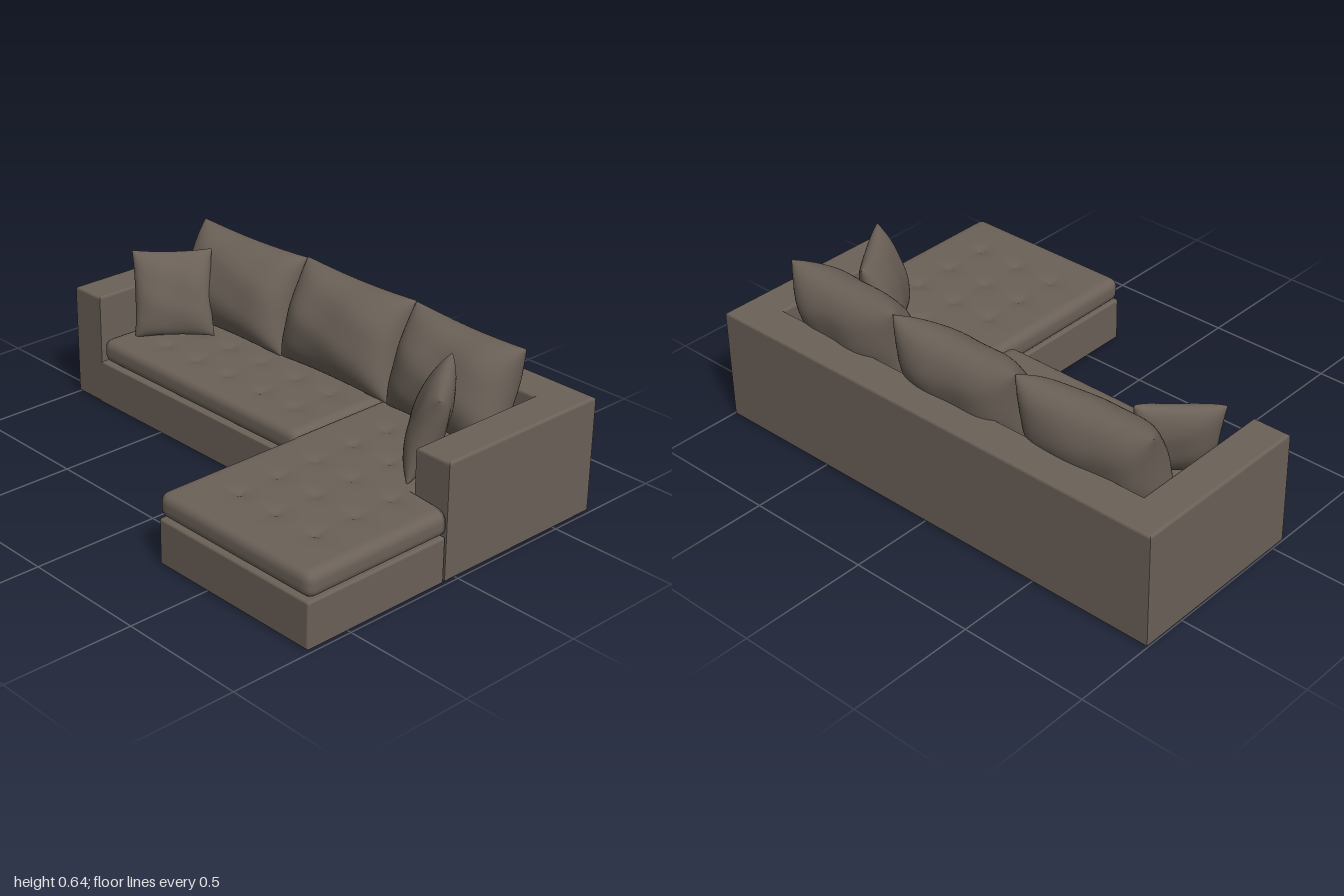
import * as THREE from 'three';
import { mergeVertices } from 'three/addons/utils/BufferGeometryUtils.js';
import { RoundedBoxGeometry } from 'three/addons/geometries/RoundedBoxGeometry.js';

const fabric = new THREE.MeshStandardMaterial({ color: 0x6b6158 });
fabric.name = 'taupe fabric';

function addMesh(group, name, geometry) {
  const mesh = new THREE.Mesh(geometry, fabric);
  mesh.name = name;
  group.add(mesh);
  return mesh;
}

// Weld the faces of a deformed box so that its normals are smooth
function smooth(geometry) {
  geometry.deleteAttribute('uv');
  geometry.deleteAttribute('normal');
  const welded = mergeVertices(geometry, 1e-5);
  welded.computeVertexNormals();
  return welded;
}

// Box given by its limits, with small rounded edges
function block(x0, x1, y0, y1, z0, z1, r = 0.01) {
  const g = new RoundedBoxGeometry(x1 - x0, y1 - y0, z1 - z0, 3, r);
  g.translate((x0 + x1) / 2, (y0 + y1) / 2, (z0 + z1) / 2);
  return g;
}

// Rounded seat cushion with tufts at every crossing of tuftX and tuftZ
function seatCushion(x0, x1, y0, y1, z0, z1, tuftX, tuftZ, reshape) {
  const half = new THREE.Vector3(x1 - x0, y1 - y0, z1 - z0).multiplyScalar(0.5);
  const r = 0.036;
  const inner = half.clone().subScalar(r);
  const low = inner.clone().negate();
  const g = new THREE.BoxGeometry(half.x * 2, half.y * 2, half.z * 2,
    Math.round(half.x * 140), 10, Math.round(half.z * 140));
  const pos = g.attributes.position;
  const p = new THREE.Vector3(), core = new THREE.Vector3();
  for (let i = 0; i < pos.count; i++) {
    p.fromBufferAttribute(pos, i);
    core.copy(p).clamp(low, inner);
    p.sub(core).normalize().multiplyScalar(r).add(core);
    p.x += (x0 + x1) / 2;
    p.y += (y0 + y1) / 2;
    p.z += (z0 + z1) / 2;
    if (reshape) reshape(p);
    if (p.y > y1 - 0.01) {
      let dent = 0;
      for (const tx of tuftX) for (const tz of tuftZ) {
        const dx = Math.abs(p.x - tx), dz = Math.abs(p.z - tz);
        dent = Math.max(dent, Math.exp(-(dx + dz * 1.3) / 0.035));
      }
      p.y -= 0.017 * dent;
    }
    pos.setXYZ(i, p.x, p.y, p.z);
  }
  return smooth(g);
}

// Stuffed pillow standing in the xy plane: pinched seam, pointed corners, soft folds
function pillow(w, h, t, seed) {
  const g = new THREE.BoxGeometry(2, 2, 2, 36, 36, 1);
  const pos = g.attributes.position;
  for (let i = 0; i < pos.count; i++) {
    const u = Math.sin(pos.getX(i) * Math.PI / 2);
    const v = Math.sin(pos.getY(i) * Math.PI / 2);
    const side = Math.sign(pos.getZ(i));
    const puff = Math.sqrt(Math.max(0, (1 - u ** 4) * (1 - v * v)));
    const fold = 1 + 0.04 * Math.sin(5 * u + 3 * v + seed) * Math.sin(4 * v - 2 * u + seed * 2);
    pos.setXYZ(i,
      w / 2 * u * (1 - 0.05 * (1 - v * v)),
      h / 2 * v * (1 - 0.05 * (1 - u * u)),
      side * t / 2 * puff * fold);
  }
  return smooth(g);
}

export function createModel() {
  const sofa = new THREE.Group();
  sofa.name = 'cornerSofa';

  // Back and both arms as one U-shaped shell with softened edges
  const b = 0.01;
  const outline = [[-1, 0.055], [-1, -0.68], [0.99, -0.68], [0.99, 0.055],
    [0.84, 0.055], [0.84, -0.53], [-0.85, -0.53], [-0.85, 0.055]];
  const shell = new THREE.ExtrudeGeometry(
    new THREE.Shape(outline.map(([x, z]) => new THREE.Vector2(x, -z))),
    { depth: 0.45 - 2 * b, bevelSize: b, bevelThickness: b, bevelOffset: -b, bevelSegments: 3 });
  shell.rotateX(-Math.PI / 2).translate(0, b, 0);
  addMesh(sofa, 'backAndArms', shell);

  // Bases
  addMesh(sofa, 'seatBase', block(-0.87, 0.257, 0, 0.178, -0.56, 0.055, 0.006));
  addMesh(sofa, 'chaiseRearBase', block(0.259, 0.86, 0, 0.178, -0.56, 0.07, 0.006));
  addMesh(sofa, 'chaiseBase', block(0.259, 0.99, 0, 0.178, 0.058, 0.68));

  // Tufted cushions; the chaise narrows where it passes inside the arm
  addMesh(sofa, 'seatCushion', seatCushion(-0.848, 0.253, 0.18, 0.277, -0.53, 0.052,
    [-0.64, -0.46, -0.28, -0.09, 0.09], [-0.27, -0.1]));
  addMesh(sofa, 'chaiseCushion', seatCushion(0.254, 0.995, 0.18, 0.277, -0.53, 0.68,
    [0.44, 0.62, 0.81], [-0.22, -0.05, 0.13, 0.3, 0.48],
    (p) => { if (p.z < 0.06) p.x = 0.254 + (p.x - 0.254) * 0.79; }));

  // Back cushions leaning on the back: x, z, width, turn
  [[-0.555, -0.42, 0.575, 0.03], [0.01, -0.435, 0.57, 0], [0.565, -0.42, 0.54, -0.04]]
    .forEach(([x, z, w, turn], i) => {
      const m = addMesh(sofa, 'backCushion' + (i + 1), pillow(w, 0.395, 0.255, i * 1.7));
      m.position.set(x, 0.457, z);
      m.rotation.set(-0.35, turn, 0, 'YXZ');
    });

  // Throw pillows in the two corners: x, z, width, turn, roll
  [[-0.715, -0.2, 0.31, 0.77, 0.05], [0.705, -0.15, 0.37, -0.92, -0.03]]
    .forEach(([x, z, w, turn, roll], i) => {
      const m = addMesh(sofa, i ? 'leftThrowPillow' : 'rightThrowPillow', pillow(w, 0.34, 0.13, 4 + i));
      m.position.set(x, 0.44, z);
      m.rotation.set(-0.3, turn, roll, 'YXZ');
    });

  return sofa;
}
